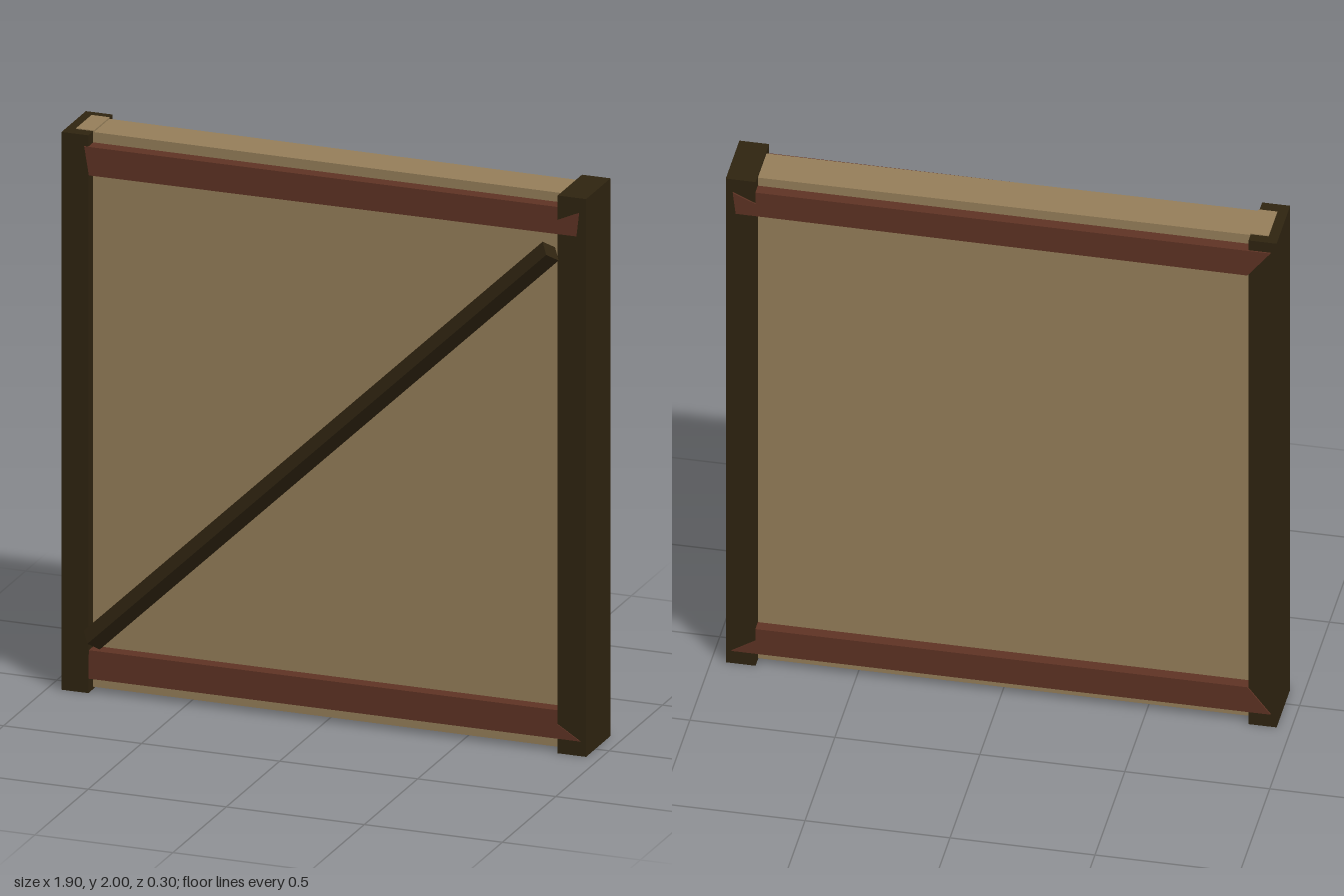
import * as THREE from 'three';

const material = (name, color) => {
  const m = new THREE.MeshStandardMaterial({ color });
  m.name = name;
  return m;
};

// Extrudes an outline in the xy plane from z0 to z1
function slab(name, points, z0, z1, mat) {
  const shape = new THREE.Shape(points.map(([x, y]) => new THREE.Vector2(x, y)));
  const geo = new THREE.ExtrudeGeometry(shape, { depth: z1 - z0, bevelEnabled: false });
  geo.translate(0, 0, z0);
  const mesh = new THREE.Mesh(geo, mat);
  mesh.name = name;
  return mesh;
}

export function createModel() {
  const plaster = material('plaster', 0x967f5a);
  const darkWood = material('dark wood', 0x2f2410);
  const redWood = material('red wood', 0x5f3324);
  const group = new THREE.Group();
  group.name = 'wallPanel';

  // Plaster infill, its top edge slightly out of level
  group.add(slab('plasterPanel',
    [[-0.915, 0.008], [0.91, 0.006], [0.91, 1.99], [-0.85, 1.994], [-0.85, 2], [-0.915, 2]],
    -0.105, 0.04, plaster));

  // Upright posts
  for (const [name, x0, x1] of [['rightPost', -0.95, -0.853], ['leftPost', 0.847, 0.95]]) {
    group.add(slab(name, [[x0, 0], [x1, 0], [x1, 1.997], [x0, 1.997]], -0.142, 0.086, darkWood));
  }

  // Rails on both faces, with rough hewn ends lapping over the posts
  const topRail = (end) => [[-0.85, 1.855], [0.915, 1.86], [0.925, 1.945],
    [0.847, 1.91], [0.847, 1.957], [end, 1.957]];
  const bottomRail = (end) => [[end, 0.053], [0.93, 0.053], [0.847, 0.105],
    [0.847, 0.155], [-0.85, 0.155]];
  group.add(slab('frontTopRail', topRail(-0.867), 0.03, 0.089, redWood));
  group.add(slab('frontBottomRail', bottomRail(-0.852), 0.03, 0.089, redWood));
  group.add(slab('backTopRail', topRail(-0.93), -0.147, -0.095, redWood));
  group.add(slab('backBottomRail', bottomRail(-0.93), -0.147, -0.095, redWood));

  // Diagonal brace: a square beam turned on edge
  const from = new THREE.Vector3(-0.832, 0.2, 0.108);
  const to = new THREE.Vector3(0.83, 1.803, 0.108);
  const side = 0.059;
  const geo = new THREE.BoxGeometry(from.distanceTo(to), side, side);
  geo.rotateX(Math.PI / 4);
  const brace = new THREE.Mesh(geo, darkWood);
  brace.name = 'diagonalBrace';
  brace.position.copy(from).lerp(to, 0.5);
  brace.rotation.z = Math.atan2(to.y - from.y, to.x - from.x);
  group.add(brace);

  return group;
}
